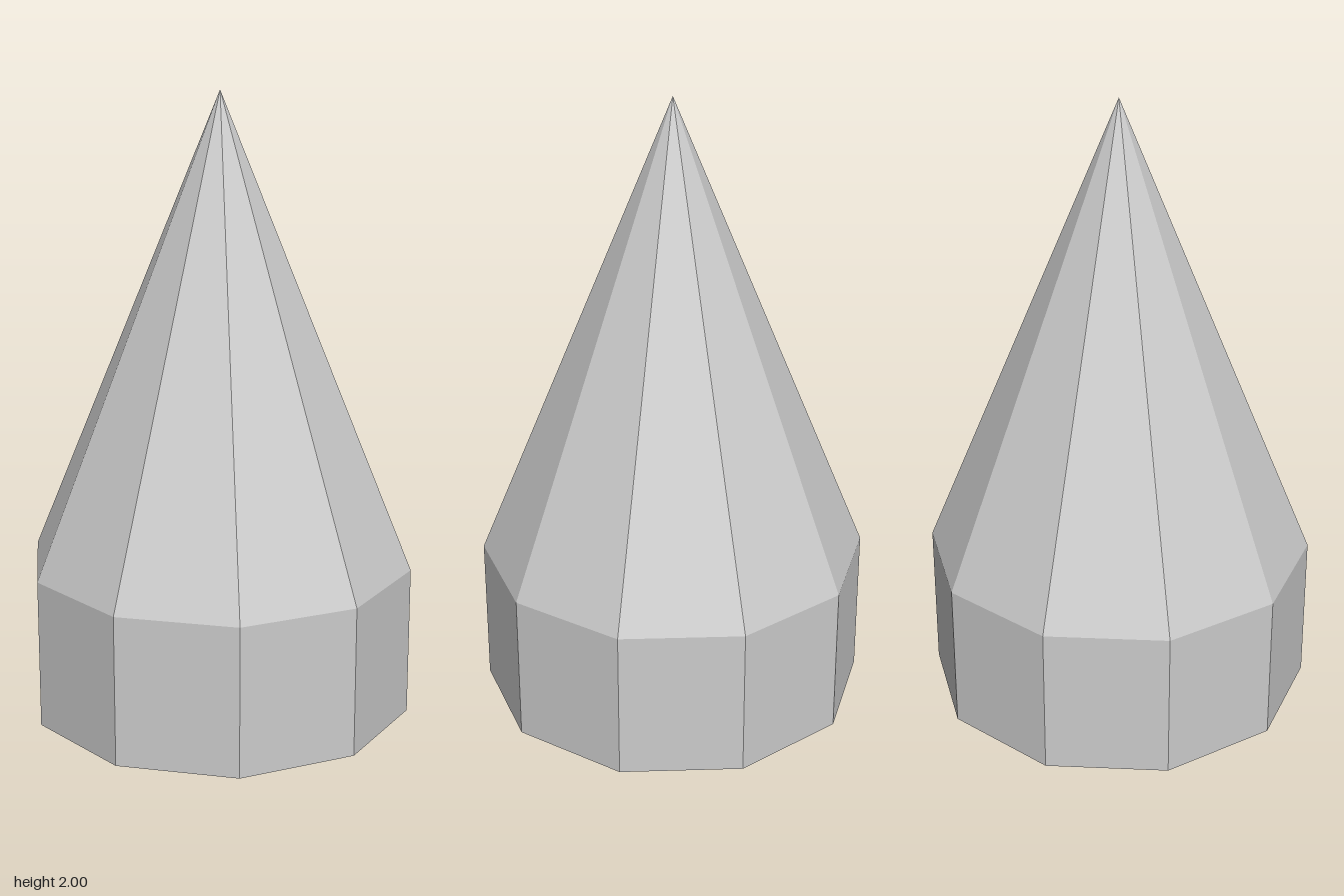
import * as THREE from 'three';

const SIDES = 10;
const R = 0.627;                                   // corner radius of the decagon
const APOTHEM = R * Math.cos(Math.PI / SIDES);
const SKIRT_TOP = 0.487, CEILING = 0.39, LEDGE = 0.25;
const TUBE_R = 0.215;

export function createModel() {
  const group = new THREE.Group();
  const flat = new THREE.MeshStandardMaterial({ color: 0xcccccc, flatShading: true, side: THREE.DoubleSide });
  const smooth = new THREE.MeshStandardMaterial({ color: 0xcccccc, side: THREE.DoubleSide });

  const add = (name, geometry, material, y = 0) => {
    const mesh = new THREE.Mesh(geometry, material);
    mesh.name = name;
    mesh.position.y = y;
    group.add(mesh);
    return mesh;
  };

  // Pointed ten-sided spire, open at its base
  const spireH = 2 - SKIRT_TOP;
  add('spire', new THREE.ConeGeometry(R, spireH, SIDES, 1, true, Math.PI / 2), flat, SKIRT_TOP + spireH / 2);

  // Thin upright skirt below the spire
  add('skirt', new THREE.CylinderGeometry(R, R, SKIRT_TOP, SIDES, 1, true, Math.PI / 2), flat, SKIRT_TOP / 2);

  // Ceiling inside the skirt, with a round opening for the socket
  const outline = [];
  for (let i = 0; i < SIDES; i++) {
    const a = (i / SIDES) * Math.PI * 2;
    outline.push(new THREE.Vector2(Math.cos(a), Math.sin(a)).multiplyScalar(R - 0.004));
  }
  const plate = new THREE.Shape(outline);
  plate.holes.push(new THREE.Path().absarc(0, 0, TUBE_R, 0, Math.PI * 2, true));
  add('ceiling', new THREE.ShapeGeometry(plate, 16).rotateX(Math.PI / 2), flat, CEILING);

  // Round socket hanging from the ceiling, closed at its top
  const tubeH = SKIRT_TOP - LEDGE;
  add('socket', new THREE.CylinderGeometry(TUBE_R, TUBE_R, tubeH, 32, 1, true), smooth, LEDGE + tubeH / 2);
  add('socketEnd', new THREE.CircleGeometry(TUBE_R, 32).rotateX(Math.PI / 2), flat, SKIRT_TOP);

  // One block against each side of the skirt, leaving wedge gaps at the corners
  const depth = 0.12, blockH = CEILING - LEDGE;
  const block = new THREE.BoxGeometry(0.306, blockH, depth);
  for (let i = 0; i < SIDES; i++) {
    const a = (i / SIDES) * Math.PI * 2;
    const mesh = add('ledgeBlock', block, flat, LEDGE + blockH / 2);
    const r = APOTHEM - depth / 2 - 0.002;
    mesh.position.x = Math.sin(a) * r;
    mesh.position.z = Math.cos(a) * r;
    mesh.rotation.y = a;
  }
  return group;
}
